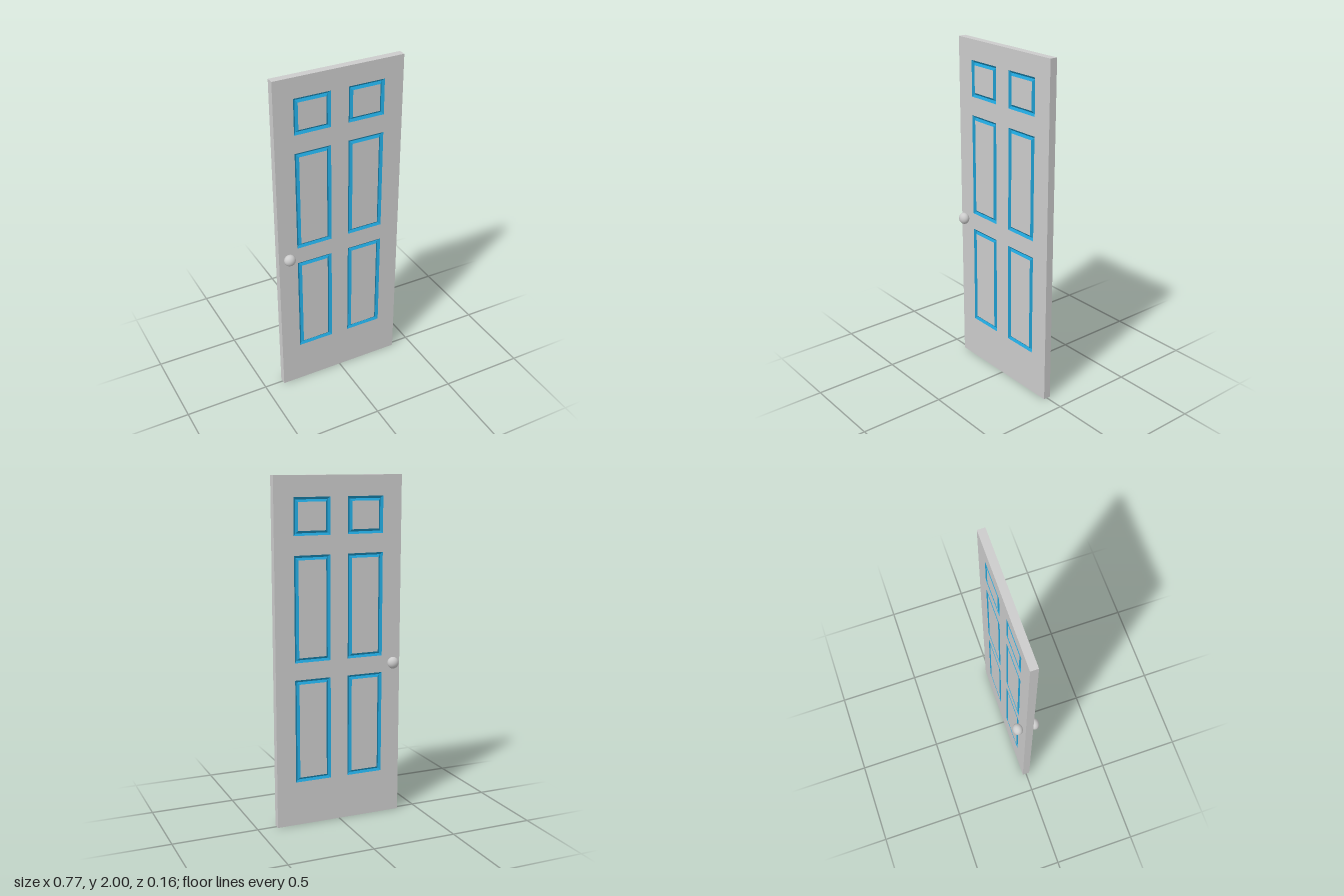
import * as THREE from 'three';

const W = 0.385, H = 2, T = 0.022;          // half width, height, half thickness
const GROOVE = 0.026, DEPTH = 0.012;        // moulding width and depth
const COLUMNS = [[-0.27, -0.053], [0.053, 0.27]];
const ROWS = [[0.26, 0.864], [0.964, 1.566], [1.674, 1.883]];

const rectPoints = (x0, x1, y0, y1, inset = 0) => [
  new THREE.Vector2(x0 + inset, y0 + inset), new THREE.Vector2(x1 - inset, y0 + inset),
  new THREE.Vector2(x1 - inset, y1 - inset), new THREE.Vector2(x0 + inset, y1 - inset),
];

// Flat-shaded strip of quads between successive four-cornered loops
function bridgeLoops(loops) {
  const pos = [];
  for (let l = 0; l < loops.length - 1; l++) {
    for (let i = 0; i < 4; i++) {
      const j = (i + 1) % 4;
      const a = loops[l][i], b = loops[l][j], c = loops[l + 1][j], d = loops[l + 1][i];
      for (const p of [a, b, c, a, c, d]) pos.push(p.x, p.y, p.z);
    }
  }
  const geo = new THREE.BufferGeometry();
  geo.setAttribute('position', new THREE.Float32BufferAttribute(pos, 3));
  geo.computeVertexNormals();
  return geo;
}

const loopAt = (pts, z) => pts.map((p) => new THREE.Vector3(p.x, p.y, z));

export function createModel() {
  const door = new THREE.Group();
  door.name = 'panelDoor';
  const grey = new THREE.MeshStandardMaterial({ color: 0xcccccc });
  const blue = new THREE.MeshStandardMaterial({ color: 0x1f9ed1 });

  const add = (parent, name, geo, mat) => {
    const mesh = new THREE.Mesh(geo, mat);
    mesh.name = name;
    parent.add(mesh);
    return mesh;
  };

  // Narrow edges around the slab
  const outline = rectPoints(-W, W, 0, H);
  add(door, 'doorEdges', bridgeLoops([loopAt(outline, -T), loopAt(outline, T)]), grey);

  // One face of the door: frame, V-groove mouldings, raised fields and knob
  function makeFace(name, mirror) {
    const face = new THREE.Group();
    face.name = name;
    const frame = new THREE.Shape(outline);
    for (const [cx0, cx1] of COLUMNS) {
      for (const [y0, y1] of ROWS) {
        const outer = rectPoints(cx0, cx1, y0, y1);
        const middle = rectPoints(cx0, cx1, y0, y1, GROOVE / 2);
        const inner = rectPoints(cx0, cx1, y0, y1, GROOVE);
        frame.holes.push(new THREE.Path([...outer].reverse()));
        add(face, 'panelMoulding',
          bridgeLoops([loopAt(outer, T), loopAt(middle, T - DEPTH), loopAt(inner, T)]), blue);
        add(face, 'panelField', new THREE.ShapeGeometry(new THREE.Shape(inner)), grey).position.z = T;
      }
    }
    add(face, 'doorFrame', new THREE.ShapeGeometry(frame), grey).position.z = T;

    // Slightly flattened round knob, on the same edge of the door on both faces
    const knob = add(face, 'knob', new THREE.SphereGeometry(1, 32, 20), grey);
    knob.scale.set(0.034, 0.034, 0.029);
    knob.position.set(mirror * -0.33, 0.92, 0.049);
    door.add(face);
    return face;
  }

  makeFace('frontFace', 1);
  makeFace('backFace', -1).rotation.y = Math.PI;
  return door;
}
